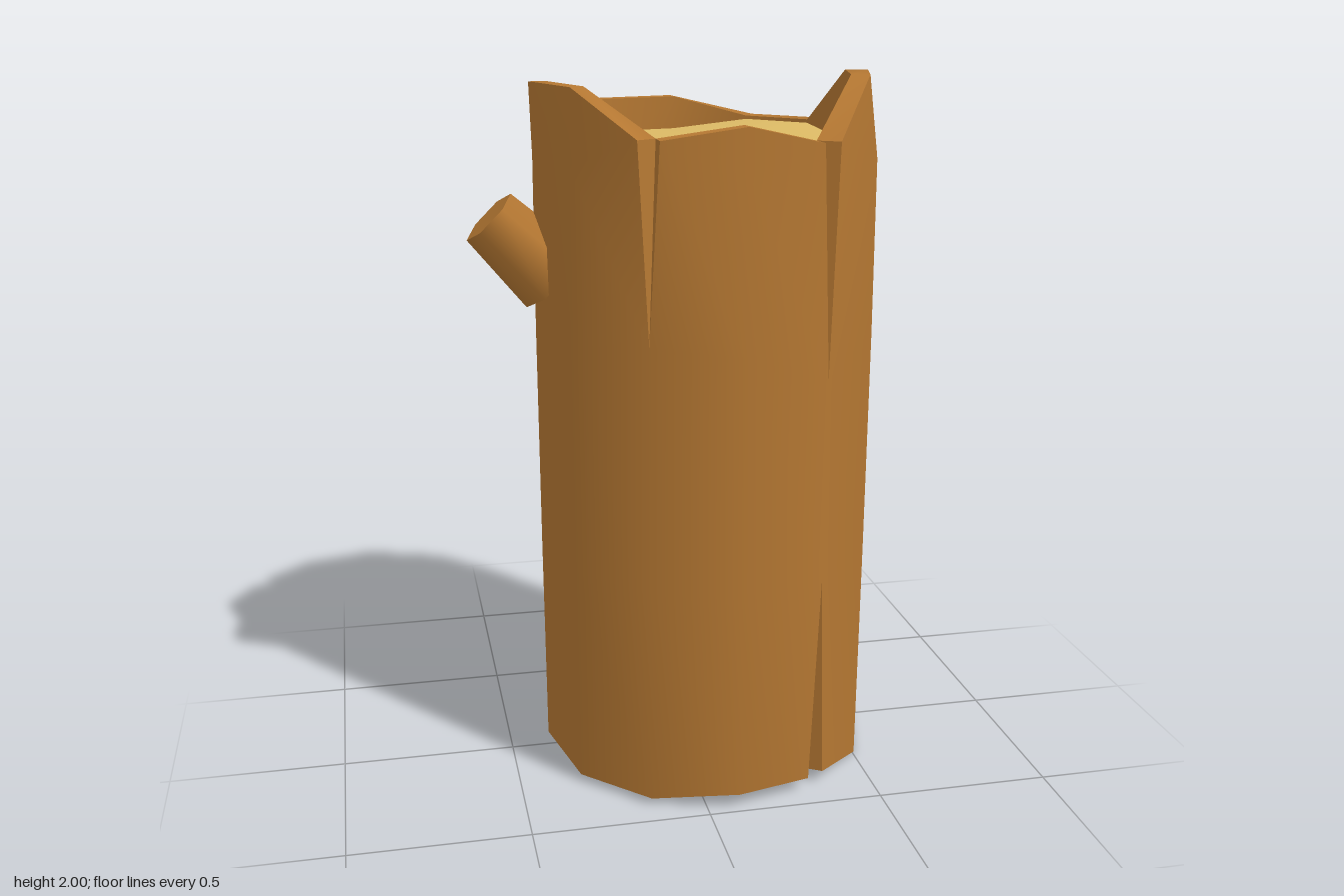
import * as THREE from 'three';
import { toCreasedNormals } from 'three/addons/utils/BufferGeometryUtils.js';

const N = 12, CX = 0.09;

// Columns of the trunk, every 30 degrees from +x towards +z
const topY = [2.0, 2.0, 1.845, 1.895, 1.86, 1.98, 1.98, 1.9, 1.9, 1.9, 1.845, 1.845];
const topR = [0.46, 0.455, 0.48, 0.48, 0.485, 0.475, 0.49, 0.485, 0.485, 0.485, 0.485, 0.485];
const topTurn = [0.1, -0.05, 0, 0, 0, 0, 0, 0, 0, 0, 0, 0];
const baseY = [0, 0, 0.04, 0.04, 0.02, 0.02, 0.04, 0.04, 0.04, 0.04, 0.04, 0.04];
const innerR = [0.4, 0.405, 0.42, 0.43, 0.43, 0.43, 0.44, 0.43, 0.435, 0.43, 0.42, 0.41];
// Tip heights of the cracks that open at the top or bottom edge
const topCrack = { 2: 1.22, 4: 1.33, 7: 1.27 };
const baseCrack = { 2: 0.65, 10: 1.23 };

const wrap = (i) => (i + N) % N;

function polar(i, r, y, shift = 0) {
  const a = (i / N) * Math.PI * 2;
  return [
    CX + r * Math.cos(a) - shift * Math.sin(a), y,
    r * Math.sin(a) + shift * Math.cos(a),
  ];
}

// Collects triangles and quads, then smooths everything but sharp edges
function surface() {
  const pos = [];
  const tri = (a, b, c) => pos.push(...a, ...b, ...c);
  return {
    tri,
    quad: (a, b, c, d) => { tri(a, b, c); tri(a, c, d); },
    build() {
      const g = new THREE.BufferGeometry();
      g.setAttribute('position', new THREE.Float32BufferAttribute(pos, 3));
      return toCreasedNormals(g, 0.7);
    },
  };
}

// Outer edge of a column from bottom to top; side is +1 or -1 beside a crack
function outerColumn(i, side) {
  const w = 0.03 * side;
  const top = polar(i + topTurn[i], topR[i], topY[i], topCrack[i] ? w : 0);
  return [
    polar(i, 0.48, baseY[i], baseCrack[i] ? w : 0),
    polar(i, 0.484, baseCrack[i] ?? 0.65),
    polar(i, 0.486, topCrack[i] ?? 1.3),
    ...(topCrack[i] ? [] : [polar(i, 0.484, 1.78)]),
    top,
  ];
}

const innerTop = (i) => polar(i, innerR[i], topY[i]);
const innerBase = (i) => polar(i, 0.425, baseY[i]);

function barkGeometry() {
  const s = surface();
  for (let i = 0; i < N; i++) {
    const j = wrap(i + 1);
    const a = outerColumn(i, 1), b = outerColumn(j, -1);
    // outer bark, stitched even where one column has an extra point
    for (let k = 0; k < 2; k++) s.quad(a[k], a[k + 1], b[k + 1], b[k]);
    const at = a.at(-1), bt = b.at(-1);
    if (a.length === b.length) {
      for (let k = 2; k < a.length - 1; k++) s.quad(a[k], a[k + 1], b[k + 1], b[k]);
    } else if (a.length > b.length) {
      s.quad(a[2], a[3], bt, b[2]);
      s.tri(a[3], at, bt);
    } else {
      s.quad(a[2], at, b[3], b[2]);
      s.tri(at, bt, b[3]);
    }
    // rims and inner walls
    s.quad(at, innerTop(i), innerTop(j), bt);
    s.quad(a[0], b[0], innerBase(j), innerBase(i));
    s.quad(polar(i, innerR[i], 1.7), polar(j, innerR[j], 1.7), innerTop(j), innerTop(i));
    s.quad(innerBase(i), innerBase(j), polar(j, 0.425, 0.2), polar(i, 0.425, 0.2));
    // V-shaped crack walls
    const m = outerColumn(i, -1);
    if (topCrack[i]) {
      s.tri(at, a[2], innerTop(i));
      s.tri(innerTop(i), a[2], m.at(-1));
    }
    if (baseCrack[i]) {
      s.tri(a[0], innerBase(i), a[1]);
      s.tri(innerBase(i), m[0], a[1]);
    }
  }
  return s.build();
}

// Cut faces of the heartwood, set inside the bark
function woodGeometry(up) {
  const s = surface();
  const edge = (i) => up
    ? polar(i, innerR[i], topY[i] < 1.87 ? 1.835 : 1.805)
    : polar(i, 0.425, 0.1);
  const centre = [CX, up ? 1.81 : 0.1, 0];
  for (let i = 0; i < N; i++) {
    const j = wrap(i + 1);
    if (up) s.tri(centre, edge(j), edge(i));
    else s.tri(centre, edge(i), edge(j));
  }
  return s.build();
}

export function createModel() {
  const bark = new THREE.MeshStandardMaterial({ color: 0xb47732 });
  bark.name = 'bark';
  const wood = new THREE.MeshStandardMaterial({ color: 0xdcba65 });
  wood.name = 'wood';

  const model = new THREE.Group();
  model.name = 'log';
  const add = (name, geometry, material) => {
    const mesh = new THREE.Mesh(geometry, material);
    mesh.name = name;
    model.add(mesh);
    return mesh;
  };

  add('barkShell', barkGeometry(), bark);
  add('topWood', woodGeometry(true), wood);
  add('bottomWood', woodGeometry(false), wood);

  // Cut branch stub leaning up and outwards, its root buried in the bark
  const stub = new THREE.CylinderGeometry(0.088, 0.112, 0.25, 6, 1, false, Math.PI / 2);
  stub.translate(0, -0.125, 0);
  const branch = add('branchStub', stub, bark);
  branch.rotation.z = Math.PI / 4;
  branch.position.set(-0.518, 1.618, 0);

  return model;
}
